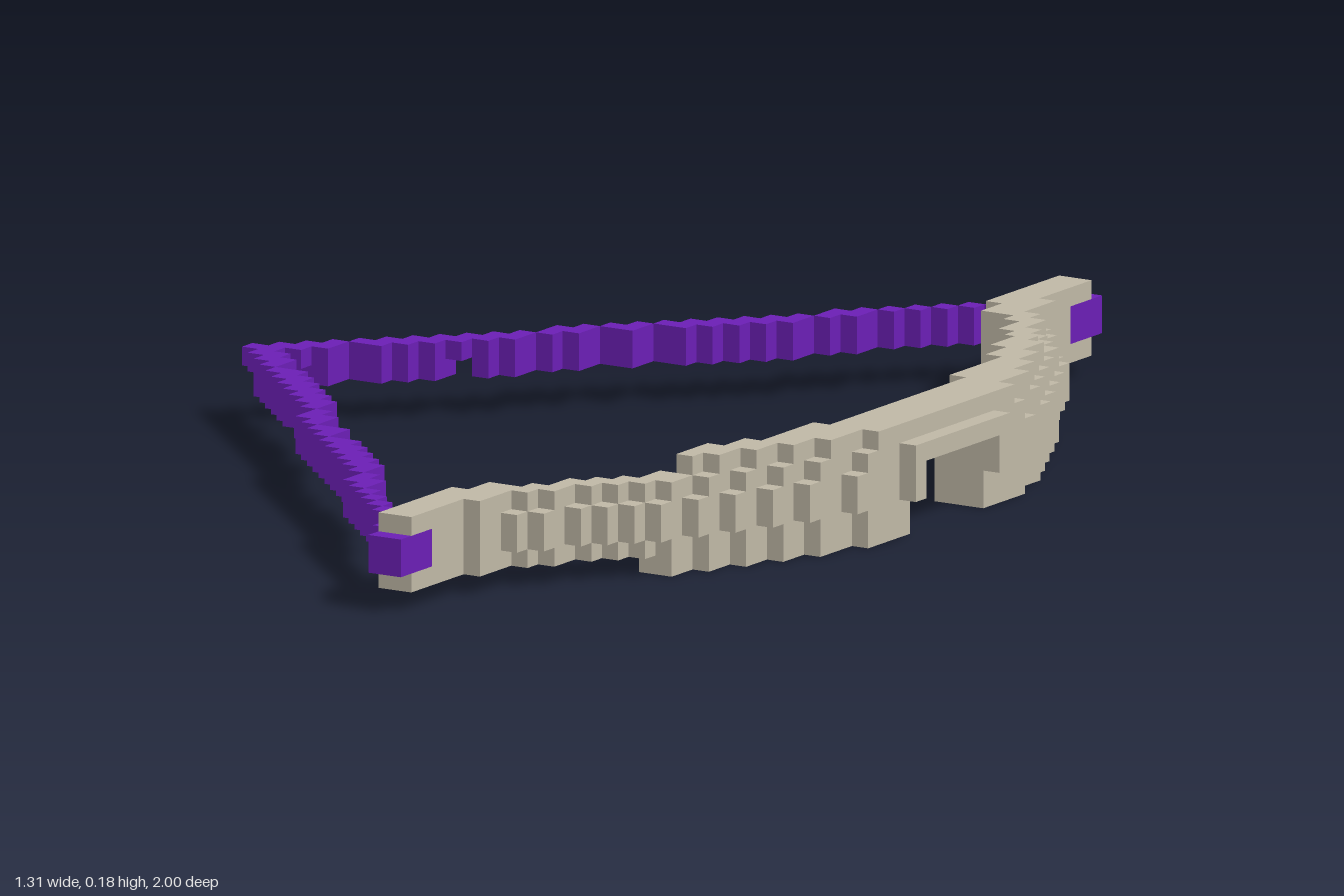
import * as THREE from 'three';
import { mergeGeometries } from 'three/addons/utils/BufferGeometryUtils.js';

// Cell grid: 44 columns in x, 6 rows in y, 67 slices in z (d = slices from the middle)
const U = 2 / 67;
const key = (i, j, k) => `${i},${j},${k}`;

function addCell(set, i, j, d) {
  set.add(key(i, j, d));
  set.add(key(i, j, -d));
}

// Curved limbs and grip: for each column from 29 to 43, the inner and outer slice
const COLUMNS = [
  [26, 32], [24, 32], [24, 27], [23, 25], [21, 24], [20, 22], [19, 21], [17, 20],
  [14, 19], [12, 17], [7, 15], [0, 13], [0, 11], [0, 8], [0, 4],
];

function limbCells() {
  const set = new Set();
  COLUMNS.forEach(([near, far], n) => {
    const i = 29 + n;
    for (let d = near; d <= far; d++) {
      for (let j = 0; j < 6; j++) {
        if (j === 5 && (d > 16 || i < 37 || d > far - 2)) continue; // raised top
        if (j === 0 && (d > 18 || i < 36 || d > far - 1)) continue; // deep belly
        if ((j === 1 || j === 4) && i > 31 && i < 43 && d > far - 1) continue; // rounded outside
        if (i === 43 && (j < 2 || j > 4)) continue;
        if (d <= 3 && j < 4) continue; // notch under the grip
        if (d >= 31 && (j === 2 || j === 3)) continue; // string loop passes through
        addCell(set, i, j, d);
      }
    }
  });
  return set;
}

// Drawn string: two straight stepped runs, with loops round the limb tips
function stringCells() {
  const set = new Set();
  const put = (i, d) => {
    addCell(set, i, 3, d);
    if (i >= 2 && d >= 2 && i !== 8) addCell(set, i, 2, d);
  };
  put(0, 0);
  for (let i = 1; i <= 27; i++) {
    const d = Math.floor(1.1 * (i - 1) + 1e-6);
    const single = i >= 23 || i === 4 || i === 13 || i === 15;
    if (!single) put(i, d);
    put(i, d + 1);
  }
  for (const d of [30, 31]) put(28, d);
  for (const i of [29, 30]) for (const d of [31, 32, 33]) put(i, d);
  return set;
}

// The six sides of a cell: outward direction and the turn that faces a plane that way
const H = Math.PI / 2;
const SIDES = [
  [1, 0, 0, 0, H], [-1, 0, 0, 0, -H], [0, 1, 0, -H, 0],
  [0, -1, 0, H, 0], [0, 0, 1, 0, 0], [0, 0, -1, 0, 2 * H],
];

// Skin of a cell set, leaving out faces that touch another cell
function skin(set, solid) {
  const planes = SIDES.map(([x, y, z, rx, ry]) =>
    new THREE.PlaneGeometry(U, U).rotateX(rx).rotateY(ry).translate(x * U / 2, y * U / 2, z * U / 2));
  const faces = [];
  for (const cell of set) {
    const [i, j, k] = cell.split(',').map(Number);
    SIDES.forEach(([x, y, z], s) => {
      if (solid.has(key(i + x, j + y, k + z))) return;
      faces.push(planes[s].clone().translate((i - 21.5) * U, (j + 0.5) * U, k * U));
    });
  }
  return mergeGeometries(faces);
}

export function createModel() {
  const bone = new THREE.MeshStandardMaterial({ color: 0xbfb8a6 });
  bone.name = 'bone';
  const purple = new THREE.MeshStandardMaterial({ color: 0x6b1fb5 });
  purple.name = 'purple';

  const limbs = limbCells();
  const string = stringCells();
  const solid = new Set([...limbs, ...string]);

  const group = new THREE.Group();
  group.name = 'bow';
  for (const [name, set, material] of [['limbsAndGrip', limbs, bone], ['bowString', string, purple]]) {
    const mesh = new THREE.Mesh(skin(set, solid), material);
    mesh.name = name;
    group.add(mesh);
  }
  return group;
}
